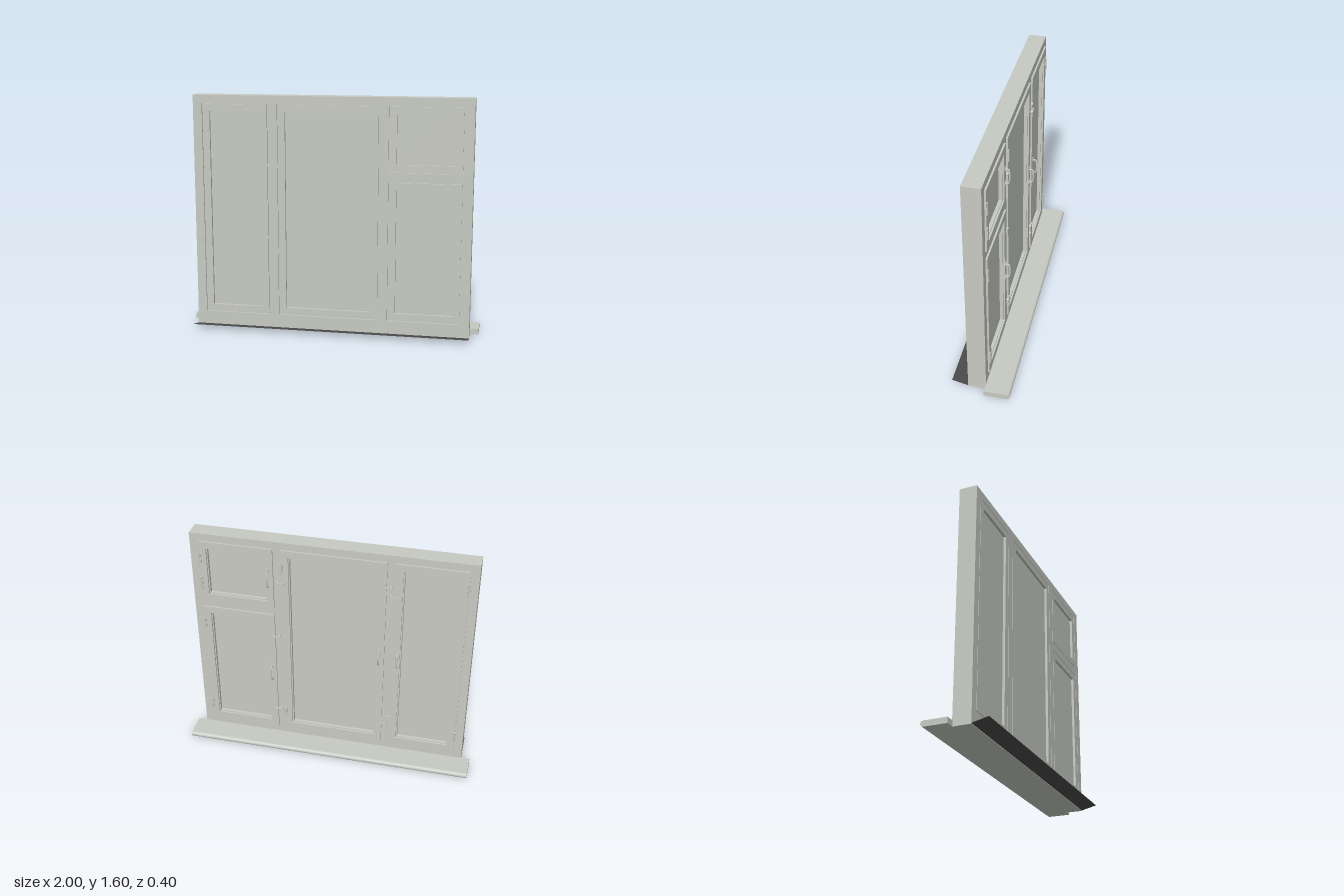
import * as THREE from 'three';

const paint = new THREE.MeshStandardMaterial({ color: 0xc7cac2 });
paint.name = 'light grey paint';
const dark = new THREE.MeshStandardMaterial({ color: 0x4c4c4c, side: THREE.DoubleSide });
dark.name = 'dark grey metal';

// Sash outlines: [x0, x1, y0, y1]
const SASHES = {
  rightSash: [-0.879, -0.425, 0.097, 1.545],
  middleSash: [-0.361, 0.325, 0.097, 1.545],
  leftLowerSash: [0.387, 0.877, 0.097, 1.047],
  leftUpperSash: [0.387, 0.877, 1.109, 1.545],
};
const FRONT = 0.09, BACK = -0.03, LIP = -0.042;

const inset = ([x0, x1, y0, y1], d) => [x0 + d, x1 - d, y0 + d, y1 - d];

function trace(path, [x0, x1, y0, y1]) {
  path.moveTo(x0, y0);
  path.lineTo(x1, y0);
  path.lineTo(x1, y1);
  path.lineTo(x0, y1);
  path.closePath();
  return path;
}

// Flat panel with rectangular openings, between two z planes
function panel(name, outer, holes, z0, z1) {
  const shape = trace(new THREE.Shape(), outer);
  holes.forEach(h => shape.holes.push(trace(new THREE.Path(), h)));
  const geo = new THREE.ExtrudeGeometry(shape, { depth: z1 - z0, bevelEnabled: false });
  geo.translate(0, 0, z0);
  return named(new THREE.Mesh(geo, paint), name);
}

function named(obj, name) {
  obj.name = name;
  return obj;
}

function box(name, w, h, d, x, y, z) {
  const mesh = named(new THREE.Mesh(new THREE.BoxGeometry(w, h, d), paint), name);
  mesh.position.set(x, y, z);
  return mesh;
}

function sash(name, opening) {
  const g = named(new THREE.Group(), name);
  const pane = inset(opening, 0.053), groove = FRONT - 0.012;
  g.add(panel('sashBody', opening, [pane], BACK, groove));
  // front face stands inside a shallow groove
  g.add(panel('sashFace', inset(opening, 0.005), [pane], groove, FRONT));
  // lip overlapping the frame on the room side, leaving a stepped bead round the pane
  g.add(panel('sashLip', inset(opening, -0.004), [inset(pane, -0.007)], LIP, BACK));
  const [x0, x1, y0, y1] = pane;
  g.add(box('pane', x1 - x0, y1 - y0, 0.08, (x0 + x1) / 2, (y0 + y1) / 2, 0.033));
  return g;
}

// Bow handle on the room side
function handle(x, y) {
  const g = named(new THREE.Group(), 'pullHandle');
  const pts = [[-0.052, 0], [-0.052, -0.012], [-0.05, -0.023], [-0.035, -0.028], [0, -0.031],
    [0.035, -0.028], [0.05, -0.023], [0.052, -0.012], [0.052, 0]]
    .map(([py, pz]) => new THREE.Vector3(0, py, pz));
  const geo = new THREE.TubeGeometry(new THREE.CatmullRomCurve3(pts), 32, 0.006, 8);
  g.add(named(new THREE.Mesh(geo, paint), 'handleBow'));
  for (const s of [-1, 1]) g.add(box('handleFoot', 0.016, 0.03, 0.006, 0, s * 0.055, -0.002));
  g.position.set(x, y, LIP);
  return g;
}

// Hinge leaf with its knuckle
function hinge(x, y) {
  const g = named(new THREE.Group(), 'hinge');
  g.add(box('hingeLeaf', 0.02, 0.085, 0.012, 0, 0, 0.002));
  const pin = new THREE.Mesh(new THREE.CylinderGeometry(0.005, 0.005, 0.087, 10), paint);
  pin.position.z = -0.003;
  g.add(named(pin, 'hingePin'));
  g.position.set(x, y, LIP);
  return g;
}

// Small turn latch: pivot disc and lever
function latch(x, y, dir) {
  const g = named(new THREE.Group(), 'turnLatch');
  const pivot = new THREE.Mesh(new THREE.CylinderGeometry(0.01, 0.01, 0.022, 14), paint);
  pivot.rotation.x = Math.PI / 2;
  pivot.position.z = -0.011;
  g.add(named(pivot, 'latchPivot'));
  g.add(box('latchLever', 0.05, 0.013, 0.008, dir * 0.02, 0, -0.017));
  g.position.set(x, y, BACK);
  return g;
}

export function createModel() {
  const model = named(new THREE.Group(), 'window');

  // Fixed frame and the four sashes
  model.add(panel('frame', [-0.94, 0.94, 0, 1.6], Object.values(SASHES), BACK, FRONT));
  for (const [name, opening] of Object.entries(SASHES)) model.add(sash(name, opening));

  // Inner sill with a rounded nose; profile drawn in (-z, y)
  const profile = new THREE.Shape();
  profile.moveTo(0.028, 0);
  profile.lineTo(0.18, 0);
  profile.absarc(0.18, 0.019, 0.019, -Math.PI / 2, Math.PI / 2, false);
  profile.lineTo(0.028, 0.038);
  profile.closePath();
  const sillGeo = new THREE.ExtrudeGeometry(profile, { depth: 2, bevelEnabled: false, curveSegments: 10 });
  sillGeo.translate(0, 0, -1).rotateY(Math.PI / 2);
  model.add(named(new THREE.Mesh(sillGeo, paint), 'innerSill'));

  // Thin outer flashing, rising slightly outward
  const rise = 0.025, run = 0.107;
  const flashing = new THREE.Mesh(new THREE.BoxGeometry(1.88, 0.003, Math.hypot(rise, run)), dark);
  flashing.position.set(0, 0.005 + rise / 2, FRONT + run / 2);
  flashing.rotation.x = -Math.atan2(rise, run);
  model.add(named(flashing, 'outerFlashing'));

  // Room-side hardware
  for (const [x, y] of [[-0.455, 0.822], [-0.333, 0.822], [0.415, 0.575], [0.415, 1.33]])
    model.add(handle(x, y));
  for (const [x, y] of [[-0.879, 1.42], [-0.879, 0.225], [0.323, 1.42], [0.323, 0.225],
    [0.876, 1.42], [0.876, 1.24], [0.876, 0.92], [0.876, 0.225]])
    model.add(hinge(x, y));
  for (const [x, y, dir] of [[0.357, 1.305, -1], [0.357, 0.88, 1], [0.357, 0.26, 1],
    [-0.393, 1.37, 1], [-0.393, 1.305, -1], [-0.393, 0.322, -1], [-0.393, 0.26, 1]])
    model.add(latch(x, y, dir));

  return model;
}
